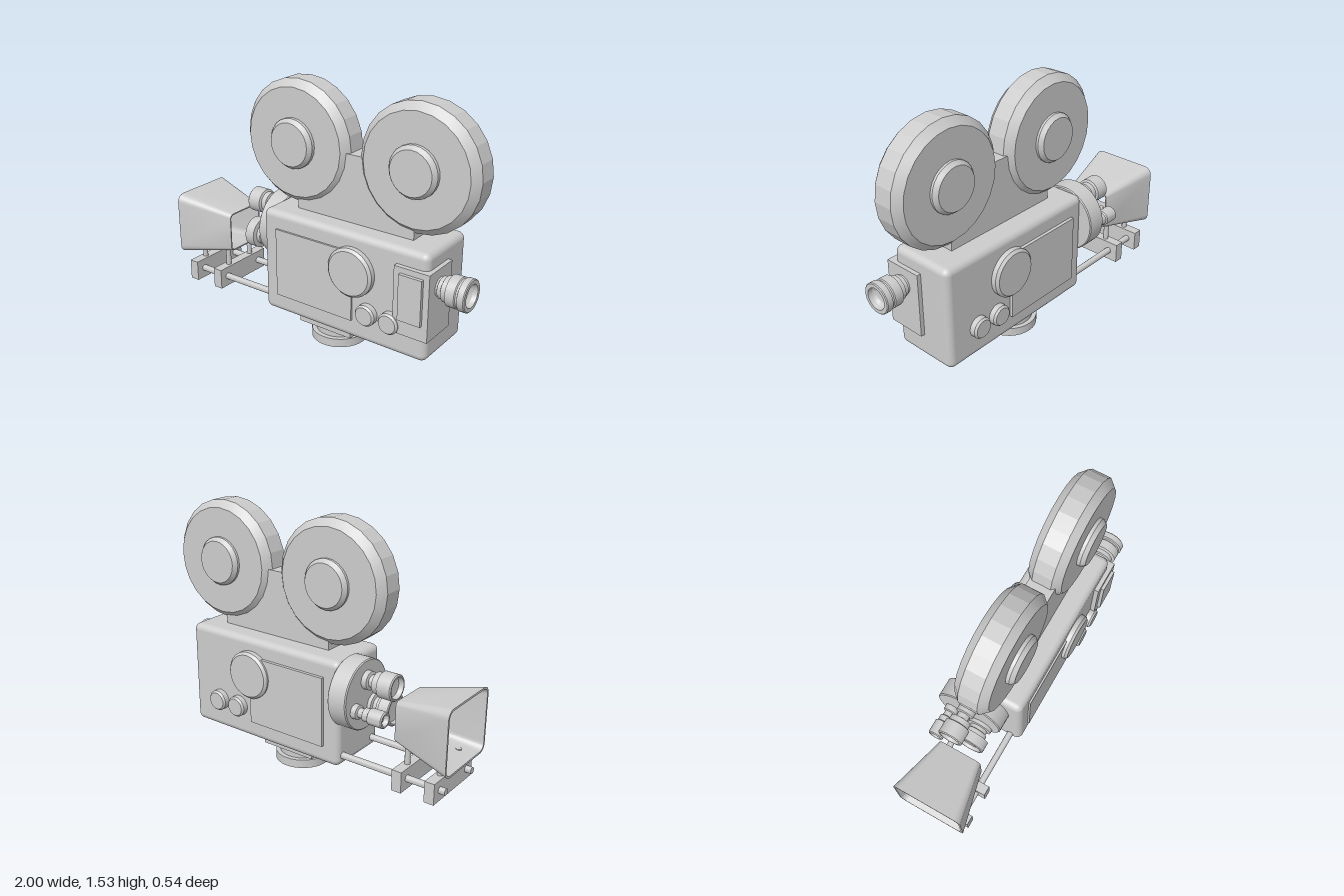
import * as THREE from 'three';
import { toCreasedNormals } from 'three/addons/utils/BufferGeometryUtils.js';
import { RoundedBoxGeometry } from 'three/addons/geometries/RoundedBoxGeometry.js';

const material = new THREE.MeshStandardMaterial({ color: 0xcccccc, side: THREE.DoubleSide });

export function createModel() {
  const model = new THREE.Group();

  const add = (name, geometry, x, y, z) => {
    const mesh = new THREE.Mesh(geometry, material);
    mesh.name = name;
    mesh.position.set(x, y, z);
    model.add(mesh);
    return mesh;
  };

  // Box given by its limits on each axis
  const box = (name, [x0, x1], [y0, y1], [z0, z1]) =>
    add(name, new THREE.BoxGeometry(x1 - x0, y1 - y0, z1 - z0), (x0 + x1) / 2, (y0 + y1) / 2, (z0 + z1) / 2);

  // Turned part: profile of [radius, height], then aimed along an axis
  const turned = (profile, axis = 'y', segments = 32) => {
    const points = profile.map(([r, h]) => new THREE.Vector2(r, h));
    const g = toCreasedNormals(new THREE.LatheGeometry(points, segments), 0.5);
    if (axis === '+x') g.rotateZ(-Math.PI / 2);
    if (axis === '-x') g.rotateZ(Math.PI / 2);
    if (axis === '+z') g.rotateX(Math.PI / 2);
    if (axis === '-z') g.rotateX(-Math.PI / 2);
    return g;
  };

  // Disc with both rims bevelled, centred on its own middle
  const bevelDisc = (r, depth, bevelR, bevelH) => [
    [0, -depth / 2], [r - bevelR, -depth / 2], [r, -depth / 2 + bevelH],
    [r, depth / 2 - bevelH], [r - bevelR, depth / 2], [0, depth / 2],
  ];

  // Main housing
  add('body', new RoundedBoxGeometry(1.1, 0.64, 0.405, 4, 0.04), 0.24, 0.455, 0.02);

  // Film magazine: two reels joined by a web
  for (const x of [-0.155, 0.63]) {
    const reel = add('filmReel', turned(bevelDisc(0.36, 0.205, 0.042, 0.045), '+z', 24), x, 1.17, 0.022);
    reel.geometry = toCreasedNormals(reel.geometry, 0.2);
    add('reelHub', turned(bevelDisc(0.146, 0.29, 0.02, 0.025), '+z', 24), x, 1.17, 0.025);
  }
  box('magazineWeb', [-0.147, 0.625], [0.76, 1.17], [-0.053, 0.1]);

  // Door panel and dials on both sides
  for (const side of [1, -1]) {
    const face = side > 0 ? 0.222 : -0.182;
    const axis = side > 0 ? '+z' : '-z';
    const panelEdges = [face - 0.02, face + 0.012 * side].sort((a, b) => a - b);
    if (side < 0) panelEdges[1] = face + 0.02;
    box('sidePanel', [-0.21, 0.32], [0.25, 0.67], panelEdges);
    add('largeDial', turned(bevelDisc(0.145, 0.09, 0.015, 0.015), axis), 0.32, 0.555, face);
    for (const x of [0.425, 0.575])
      add('smallDial', turned(bevelDisc(0.063, 0.09, 0.01, 0.012), axis), x, 0.325, face);
  }

  // Viewfinder housing and eyepiece
  box('viewfinderHousing', [0.6, 0.815], [0.287, 0.683], [0.015, 0.25]);
  box('viewfinderPanel', [0.64, 0.78], [0.38, 0.65], [0.2, 0.27]);
  add('eyepiece', turned([
    [0.055, -0.01], [0.055, 0.01], [0.063, 0.015], [0.063, 0.035], [0.072, 0.04], [0.072, 0.065],
    [0.088, 0.072], [0.088, 0.125], [0.082, 0.13], [0.082, 0.14], [0.092, 0.145], [0.092, 0.18],
    [0.087, 0.185], [0.065, 0.185], [0.06, 0.16], [0.045, 0.145], [0, 0.135],
  ], '+x'), 0.815, 0.577, 0.135);

  // Lens turret with three lenses
  add('lensTurret', turned(bevelDisc(0.206, 0.12, 0.006, 0.006), '-x', 40), -0.355, 0.58, -0.06);
  const lens = (y, z, length, rBase, rNeck, rMid, rFront) =>
    add('lens', turned([
      [rBase, 0], [rBase, length * 0.18], [rNeck, length * 0.2], [rNeck, length * 0.34],
      [rMid, length * 0.37], [rMid, length * 0.53], [rFront, length * 0.56], [rFront, length * 0.97],
      [rFront - 0.006, length], [rFront - 0.014, length], [rFront - 0.02, length * 0.86], [0, length * 0.84],
    ], '-x'), -0.41, y, z);
  lens(0.672, -0.065, 0.205, 0.054, 0.036, 0.062, 0.076);
  lens(0.523, -0.175, 0.205, 0.042, 0.028, 0.038, 0.047);
  lens(0.495, 0.018, 0.15, 0.075, 0.055, 0.065, 0.092);

  // Matte box hood: rounded frame extruded, then tapered towards the lenses
  const roundedRect = (shape, w, h, r) => {
    shape.absarc(w - r, h - r, r, 0, Math.PI / 2);
    shape.absarc(-w + r, h - r, r, Math.PI / 2, Math.PI);
    shape.absarc(-w + r, -h + r, r, Math.PI, Math.PI * 1.5);
    shape.absarc(w - r, -h + r, r, Math.PI * 1.5, Math.PI * 2);
    shape.closePath();
    return shape;
  };
  const frame = roundedRect(new THREE.Shape(), 0.217, 0.197, 0.05);
  frame.holes.push(roundedRect(new THREE.Path(), 0.205, 0.185, 0.04));
  const hood = new THREE.ExtrudeGeometry(frame, { depth: 0.36, bevelEnabled: false, curveSegments: 6 });
  const p = hood.attributes.position;
  for (let i = 0; i < p.count; i++) {
    const s = 0.62 + 0.38 * (p.getZ(i) / 0.36);
    p.setXY(i, p.getX(i) * s, p.getY(i) * s);
  }
  hood.rotateY(-Math.PI / 2);
  add('matteBoxHood', toCreasedNormals(hood, 0.6), -0.64, 0.498, 0.015);

  // Support rods, crossbars and posts below the hood
  for (const z of [-0.132, 0.156])
    add('supportRod', turned([[0, 0], [0.02, 0], [0.02, 0.69], [0, 0.69]], '-x', 16), -0.285, 0.2, z);
  for (const [x, top] of [[-0.908, 0.335], [-0.706, 0.37]]) {
    box('crossbar', [x - 0.03, x + 0.03], [0.135, 0.26], [-0.195, 0.218]);
    for (const z of [-0.085, 0.11])
      add('hoodPost', new THREE.CylinderGeometry(0.016, 0.016, top - 0.25, 12), x, (top + 0.25) / 2, z);
  }

  // Tripod mount
  box('mountPlate', [-0.08, 0.28], [0.095, 0.14], [-0.125, 0.18]);
  add('mountBase', turned([
    [0, 0], [0.167, 0], [0.167, 0.053], [0.14, 0.053], [0.14, 0.1], [0, 0.1],
  ]), 0.102, 0, 0.029);

  return model;
}
